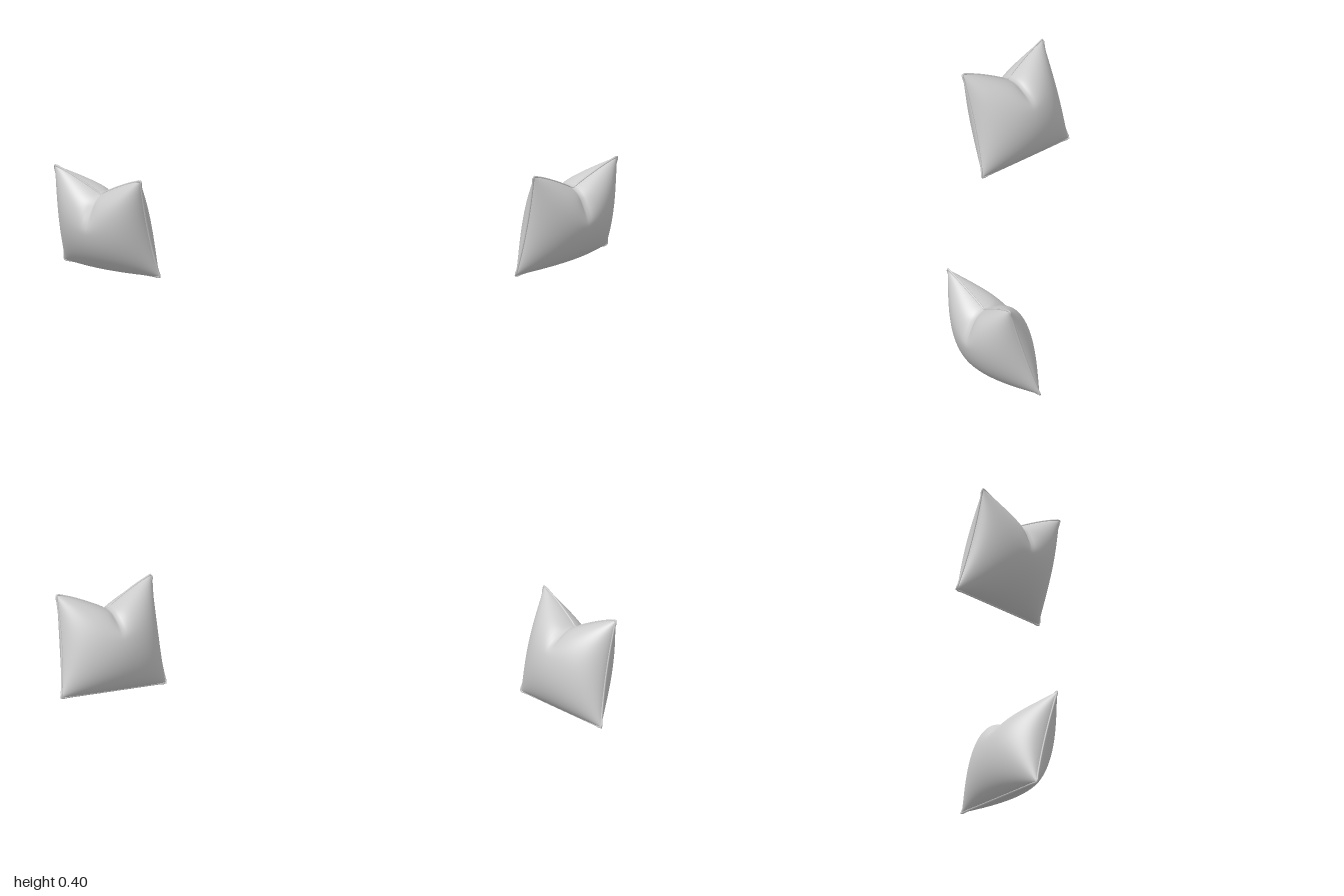
import * as THREE from 'three';

const SEGMENTS = 48;
const THICKNESS = 0.113; // half thickness at the middle
const CHOP = 0.085;      // depth of the dent in the top edge

// Maps u, v in [-1, 1] on one side (1 front, -1 back, 0 seam) to a point of the cushion.
// Corners: bottom left, bottom right, top left, top right, seen from the front.
function makeSurface([bl, br, tl, tr]) {
  const across = br.clone().sub(bl).add(tr).sub(tl);
  const up = tl.clone().sub(bl).add(tr).sub(br).normalize();
  const normal = across.cross(up).normalize();
  return (u, v, side) => {
    const t = (1 + v) / 2;
    // sides pull in between the corners
    const s = (1 + u * (1 - 0.055 * (1 - v * v))) / 2;
    const p = bl.clone().lerp(br, s).lerp(tl.clone().lerp(tr, s), t);
    // chopped V in the top edge, fading downwards
    p.addScaledVector(up, -CHOP * Math.pow(1 - Math.abs(u), 1.25) * Math.pow(t, 3));
    // padding, creased along the middle of the upper half
    const fade = THREE.MathUtils.smoothstep(v, 0.1, 0.75);
    const crease = 1 - 0.3 * Math.exp(-Math.abs(u) / 0.13) * fade;
    const puff = Math.pow(Math.max(0, (1 - u * u) * (1 - v * v)), 0.56);
    return p.addScaledVector(normal, side * THICKNESS * puff * crease);
  };
}

function makePanel(surface, side, material) {
  const geometry = new THREE.PlaneGeometry(2, 2, SEGMENTS, SEGMENTS);
  const pos = geometry.attributes.position;
  const ease = (a) => Math.sin((a * Math.PI) / 2); // finer rows near the seam
  for (let i = 0; i < pos.count; i++) {
    const p = surface(side * ease(pos.getX(i)), ease(pos.getY(i)), side);
    pos.setXYZ(i, p.x, p.y, p.z);
  }
  geometry.computeVertexNormals();
  return new THREE.Mesh(geometry, material);
}

// Thin bead that follows the outline
function makeSeam(surface, material) {
  const points = [];
  const n = 16;
  const edges = [(a) => [a, -1], (a) => [1, a], (a) => [-a, 1], (a) => [-1, -a]];
  for (const edge of edges) {
    for (let i = 0; i < n; i++) {
      const [u, v] = edge(-1 + (2 * i) / n);
      points.push(surface(u, v, 0));
    }
  }
  const curve = new THREE.CatmullRomCurve3(points, true);
  return new THREE.Mesh(new THREE.TubeGeometry(curve, 160, 0.004, 6, true), material);
}

function makeCushion(name, corners, material) {
  const surface = makeSurface(corners.map((c) => new THREE.Vector3(...c)));
  const cushion = new THREE.Group();
  cushion.name = name;
  const parts = {
    frontPanel: makePanel(surface, 1, material),
    backPanel: makePanel(surface, -1, material),
    seam: makeSeam(surface, material),
  };
  for (const [part, mesh] of Object.entries(parts)) {
    mesh.name = part;
    cushion.add(mesh);
  }
  return cushion;
}

export function createModel() {
  const material = new THREE.MeshStandardMaterial({ color: 0xcccccc, side: THREE.DoubleSide });
  const model = new THREE.Group();
  model.name = 'cushions';
  model.add(
    makeCushion('leftCushion', [
      [0.627, 0.006, 0.085], [0.965, 0.043, -0.187],
      [0.687, 0.386, 0.157], [0.996, 0.391, -0.082],
    ], material),
    makeCushion('rightCushion', [
      [-0.955, 0.021, -0.173], [-0.635, 0.028, 0.112],
      [-0.996, 0.392, -0.08], [-0.708, 0.4, 0.187],
    ], material),
  );
  return model;
}
